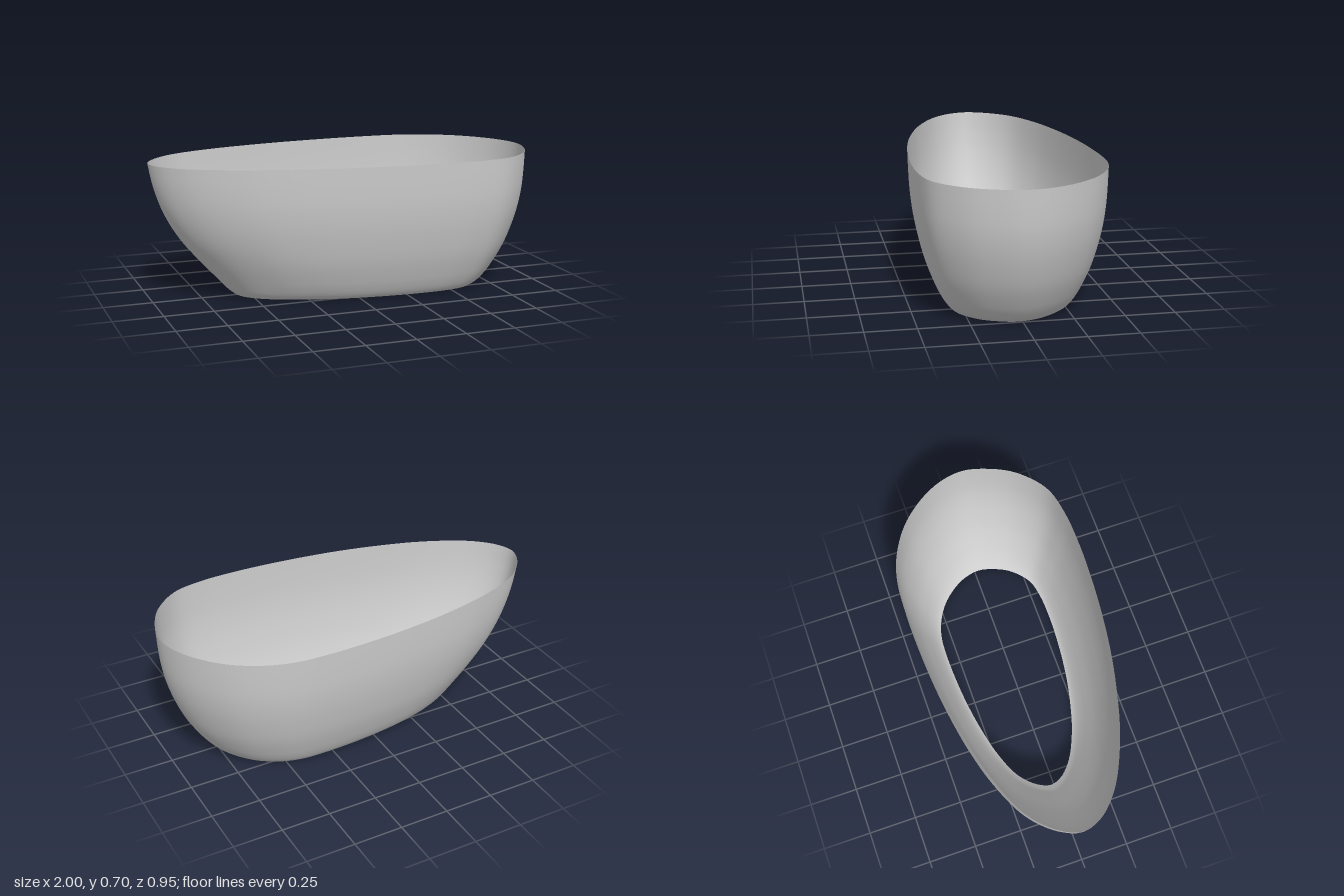
import * as THREE from 'three';

// Rim outline seen from above, as [x, z], running from the narrow end round the back
const RIM = [
  [-1, -0.02], [-0.97, -0.11], [-0.9, -0.2], [-0.8, -0.275], [-0.6, -0.355], [-0.4, -0.405],
  [-0.2, -0.44], [0, -0.463], [0.2, -0.475], [0.35, -0.477], [0.5, -0.468], [0.64, -0.43],
  [0.8, -0.335], [0.92, -0.2], [0.98, -0.08], [1, 0.04], [0.97, 0.165], [0.9, 0.3],
  [0.76, 0.423], [0.6, 0.463], [0.4, 0.472], [0.2, 0.464], [0, 0.445], [-0.2, 0.415],
  [-0.4, 0.37], [-0.6, 0.31], [-0.8, 0.22], [-0.9, 0.15], [-0.97, 0.07],
];

// Wall profiles: height, flare of the steep sides, flare of the sloping narrow end
const PROFILE = [
  [0, 0, 0], [0.01, 0.07, 0.03], [0.03, 0.16, 0.085], [0.06, 0.26, 0.15], [0.1, 0.37, 0.235],
  [0.2, 0.595, 0.445], [0.3, 0.755, 0.635], [0.4, 0.875, 0.78], [0.5, 0.95, 0.885],
  [0.6, 0.983, 0.955], [0.7, 1, 1],
];

const AROUND = 160, LEVELS = 40;

function createWall() {
  const rim = new THREE.CatmullRomCurve3(
    RIM.map(([x, z]) => new THREE.Vector3(x, 0, z)), true, 'centripetal').getSpacedPoints(AROUND);
  const profile = new THREE.CatmullRomCurve3(
    PROFILE.map(([y, side, end]) => new THREE.Vector3(side, y, end))).getPoints(LEVELS);

  const positions = [], indices = [];
  profile.forEach((p, j) => {
    for (let i = 0; i < AROUND; i++) {
      const { x, z } = rim[i];
      // The narrow end leans out more gradually than the rest
      const flare = THREE.MathUtils.lerp(p.x, p.z, THREE.MathUtils.smoothstep(-x, 0.3, 1));
      // The base opening is a smaller, shifted copy of the rim
      positions.push(
        THREE.MathUtils.lerp(0.085 + 0.655 * x, x, flare), p.y,
        THREE.MathUtils.lerp(0.645 * z, z, flare));
      if (j === LEVELS) continue;
      const n = (i + 1) % AROUND;
      const a = j * AROUND + i, b = j * AROUND + n;
      indices.push(a, b + AROUND, b, a, a + AROUND, b + AROUND);
    }
  });

  const geometry = new THREE.BufferGeometry();
  geometry.setAttribute('position', new THREE.Float32BufferAttribute(positions, 3));
  geometry.setIndex(indices);
  geometry.computeVertexNormals();
  return geometry;
}

export function createModel() {
  const group = new THREE.Group();
  group.name = 'tub';
  // Thin open shell without a floor
  const wall = new THREE.Mesh(createWall(),
    new THREE.MeshStandardMaterial({ color: 0xcccccc, side: THREE.DoubleSide }));
  wall.name = 'tubWall';
  group.add(wall);
  return group;
}
